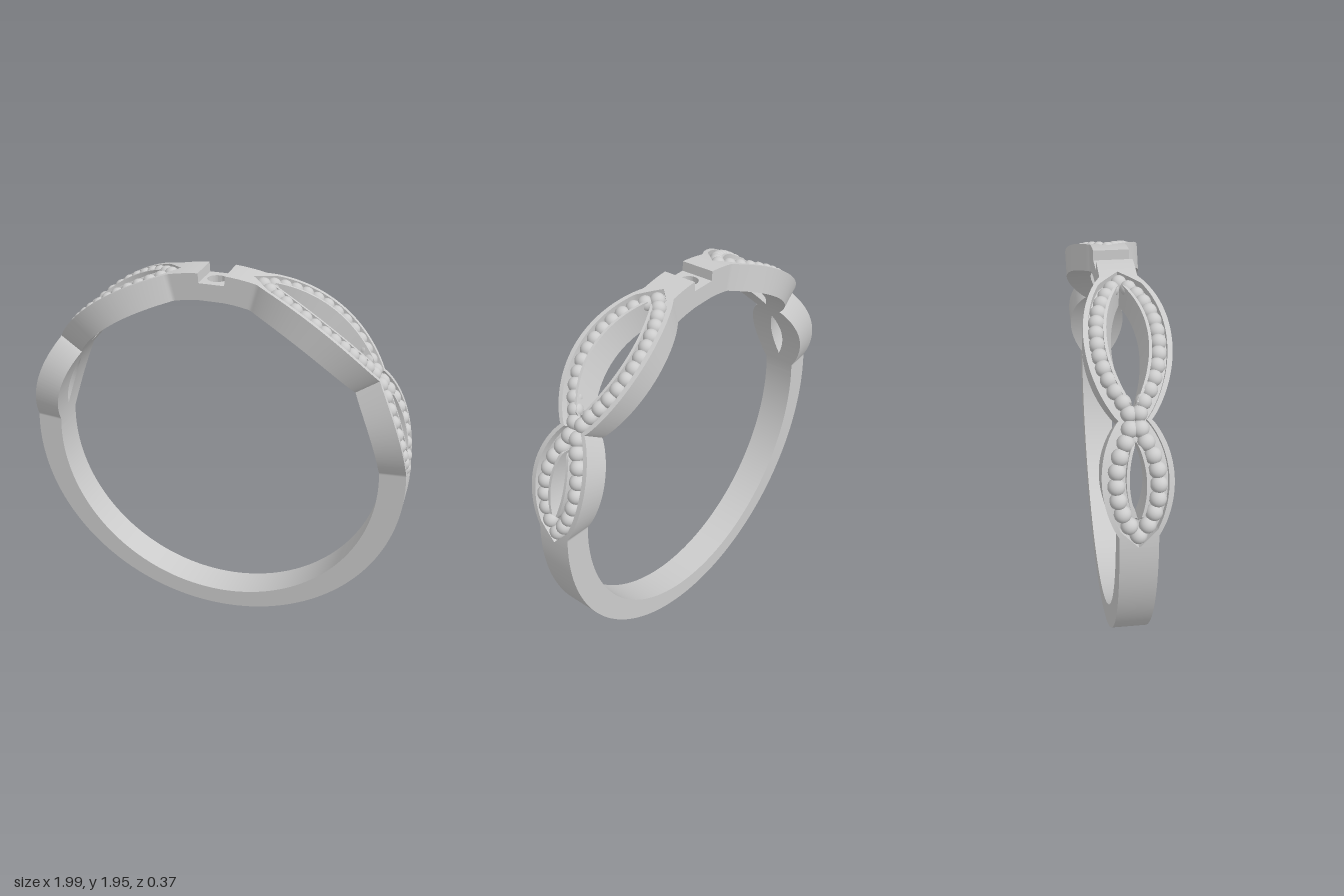
import * as THREE from 'three';
import { toCreasedNormals } from 'three/addons/utils/BufferGeometryUtils.js';

const CY = 0.96, RI = 0.86, R = 0.99, HALF = 0.085, GROOVE = 0.035;
const { clamp, lerp, degToRad } = THREE.MathUtils;
const material = new THREE.MeshStandardMaterial({ color: 0xcccccc });

// Point on the ring: angle in degrees from the top, radius, and z
const ringPoint = (deg, r, z) => {
  const a = degToRad(deg);
  return new THREE.Vector3(r * Math.sin(a), CY + r * Math.cos(a), z);
};
const arch = (v, a, b) => { // 0 at both ends, 1 in the middle
  const t = clamp((v - a) / (b - a), 0, 1);
  return 4 * t * (1 - t);
};

// Sweep a closed [z, r] profile round the ring, optionally mirrored and capped
function sweep(profile, from, to, steps, sx = 1, sz = 1, capped = false) {
  const pos = [], idx = [], n = profile(from).length;
  const face = (a, b, c) => (sx * sz > 0 ? idx.push(a, b, c) : idx.push(a, c, b));
  for (let i = 0; i <= steps; i++) {
    const deg = lerp(from, to, i / steps);
    for (const [z, r] of profile(deg)) {
      const p = ringPoint(deg, r, z);
      pos.push(p.x * sx, p.y, p.z * sz);
    }
  }
  for (let i = 0; i < steps; i++) {
    for (let j = 0; j < n; j++) {
      const a = i * n + j, b = i * n + (j + 1) % n;
      face(a, b, a + n);
      face(b, b + n, a + n);
    }
  }
  if (capped) {
    const e = steps * n;
    for (let j = 1; j < n - 1; j++) {
      face(0, j + 1, j);
      face(e, e + j, e + j + 1);
    }
  }
  const geo = new THREE.BufferGeometry();
  geo.setAttribute('position', new THREE.Float32BufferAttribute(pos, 3));
  geo.setIndex(idx);
  return toCreasedNormals(geo, 0.6);
}

// Plain band, thinning a little towards the bottom
const bandProfile = (deg) => {
  const a = degToRad(deg), s = Math.sin(a), c = Math.cos(a);
  const r = c < 0 ? (R * CY) / Math.hypot(CY * s, R * c) : R;
  return [[-HALF, RI], [-HALF, r], [HALF, r], [HALF, RI]];
};

const JOINT = 55;
const leaves = [
  { name: 'upperLeaf', tip: 10.5, edge: 12.8, slope: 0.0175, width: 0.187,
    hole: [15.5, 52], holeW: 0.088, taper: 0.68, beads: [13.6, 53.2], beadZ: 0.131, beadR: 0.036, count: 14 },
  { name: 'lowerLeaf', tip: 87.5, edge: 84.2, slope: 0.016, width: 0.152,
    hole: [60, 80.5], holeW: 0.036, taper: 0.95, beads: [84.7, 57], beadZ: 0.09, beadR: 0.038, count: 9 },
];

// Half of an openwork leaf: hole wall, inner rim, bead groove, outer rim
const leafProfile = (L) => (deg) => {
  const t = clamp((deg - L.edge) / (JOINT - L.edge), 0, 1);
  const end = lerp(HALF, 0.07, t);
  const w = end + (L.width - end) * Math.pow(arch(deg, L.edge, JOINT), 0.9);
  const h = L.holeW * arch(deg, L.hole[0], L.hole[1]);
  const g = h + Math.min(0.013, h);
  const c = Math.min(w - 0.022, L.slope * Math.abs(deg - L.tip));
  const rim = R - GROOVE * (1 - Math.min(1, h / 0.01));
  return [[h * L.taper, RI], [h, rim], [g, rim], [g, R - GROOVE],
    [c, R - GROOVE], [c, R], [w, R], [w, RI]];
};

// Bead centres, evenly spaced from the tip to the joint
function beadCentres(L) {
  const pts = [];
  for (let i = 0; i <= 40; i++) {
    const t = i / 40;
    const z = L.beadZ * Math.pow(4 * t * (1 - t), 0.85);
    pts.push(ringPoint(lerp(L.beads[0], L.beads[1], t), 0.963, Math.max(z, 0.022 * t)));
  }
  return new THREE.CatmullRomCurve3(pts).getSpacedPoints(L.count - 1);
}

export function createModel() {
  const model = new THREE.Group();
  const add = (geo, name, parent = model) => {
    const mesh = new THREE.Mesh(geo, material);
    mesh.name = name;
    parent.add(mesh);
    return mesh;
  };

  // Lower shank
  add(sweep(bandProfile, 87.5, 272.5, 96, 1, 1, true), 'shank');

  // Top setting: notched floor with a drilled stone seat
  const notch = 0.066;
  const floor = new THREE.Shape();
  floor.moveTo(-notch, -HALF).lineTo(notch, -HALF).lineTo(notch, HALF).lineTo(-notch, HALF).closePath();
  floor.holes.push(new THREE.Path().absarc(0, 0, 0.046, 0, Math.PI * 2, true));
  const floorGeo = new THREE.ExtrudeGeometry(floor, { depth: 0.083, bevelEnabled: false, curveSegments: 32 });
  floorGeo.rotateX(-Math.PI / 2).translate(0, 1.818, 0);
  add(toCreasedNormals(floorGeo, 0.6), 'stoneSeat');

  const notchDeg = THREE.MathUtils.radToDeg(Math.asin(notch / R));
  for (const sx of [1, -1]) {
    const side = sx > 0 ? 'left' : 'right';
    add(sweep(bandProfile, notchDeg, 10.5, 6, sx, 1, true), side + 'Shoulder');

    for (const L of leaves) {
      const group = new THREE.Group();
      group.name = `${side}_${L.name}`;
      model.add(group);
      const from = Math.min(L.tip, JOINT), to = Math.max(L.tip, JOINT);
      const bead = new THREE.SphereGeometry(L.beadR, 20, 14);
      const centres = beadCentres(L);
      for (const sz of [1, -1]) {
        add(sweep(leafProfile(L), from, to, 72, sx, sz), 'leafFrame', group);
        centres.forEach((p, i) => {
          if (i === 0 && sz < 0) return; // the tip bead is shared
          add(bead, 'bead', group).position.set(p.x * sx, p.y, p.z * sz);
        });
      }
    }
  }
  return model;
}
